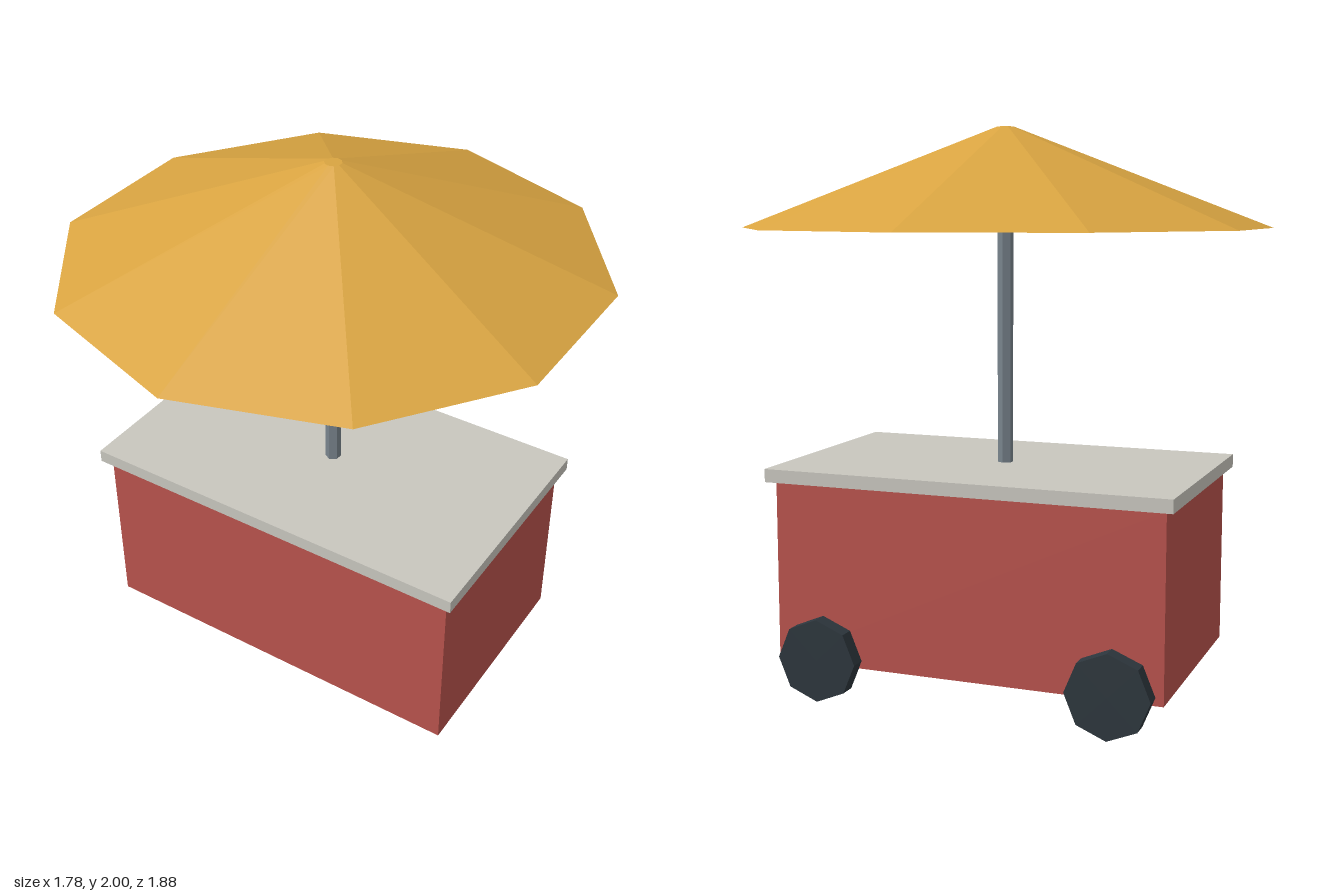
import * as THREE from 'three';

const flat = (name, color) => {
  const m = new THREE.MeshStandardMaterial({ color });
  m.name = name;
  m.flatShading = true;
  return m;
};

export function createModel() {
  const red = flat('red paint', 0xb8524c);
  const stone = flat('pale counter', 0xc8c6be);
  const steel = flat('grey steel', 0x78838c);
  const yellow = flat('yellow canvas', 0xd9a441);
  const rubber = flat('dark rubber', 0x2d363d);

  const cart = new THREE.Group();
  cart.name = 'parasolCart';
  const add = (name, geometry, material, x, y, z) => {
    const mesh = new THREE.Mesh(geometry, material);
    mesh.name = name;
    mesh.position.set(x, y, z);
    cart.add(mesh);
    return mesh;
  };

  // Cart box and overhanging counter
  add('body', new THREE.BoxGeometry(1.412, 0.647, 0.824), red, 0, 0.4435, 0);
  add('counter', new THREE.BoxGeometry(1.47, 0.047, 0.884), stone, 0, 0.79, 0);

  // Pole and ten-sided parasol
  add('pole', new THREE.CylinderGeometry(0.028, 0.028, 0.86, 6), steel, 0, 1.235, 0);
  add('canopy', new THREE.CylinderGeometry(0.03, 0.938, 0.35, 10), yellow, 0, 1.825, 0);

  // Two octagonal wheels on the back
  const wheel = new THREE.CylinderGeometry(0.148, 0.148, 0.06, 8).rotateX(Math.PI / 2);
  for (const [name, side] of [['leftWheel', 1], ['rightWheel', -1]]) {
    add(name, wheel, rubber, side * 0.53, 0.148, -0.44);
  }
  return cart;
}
